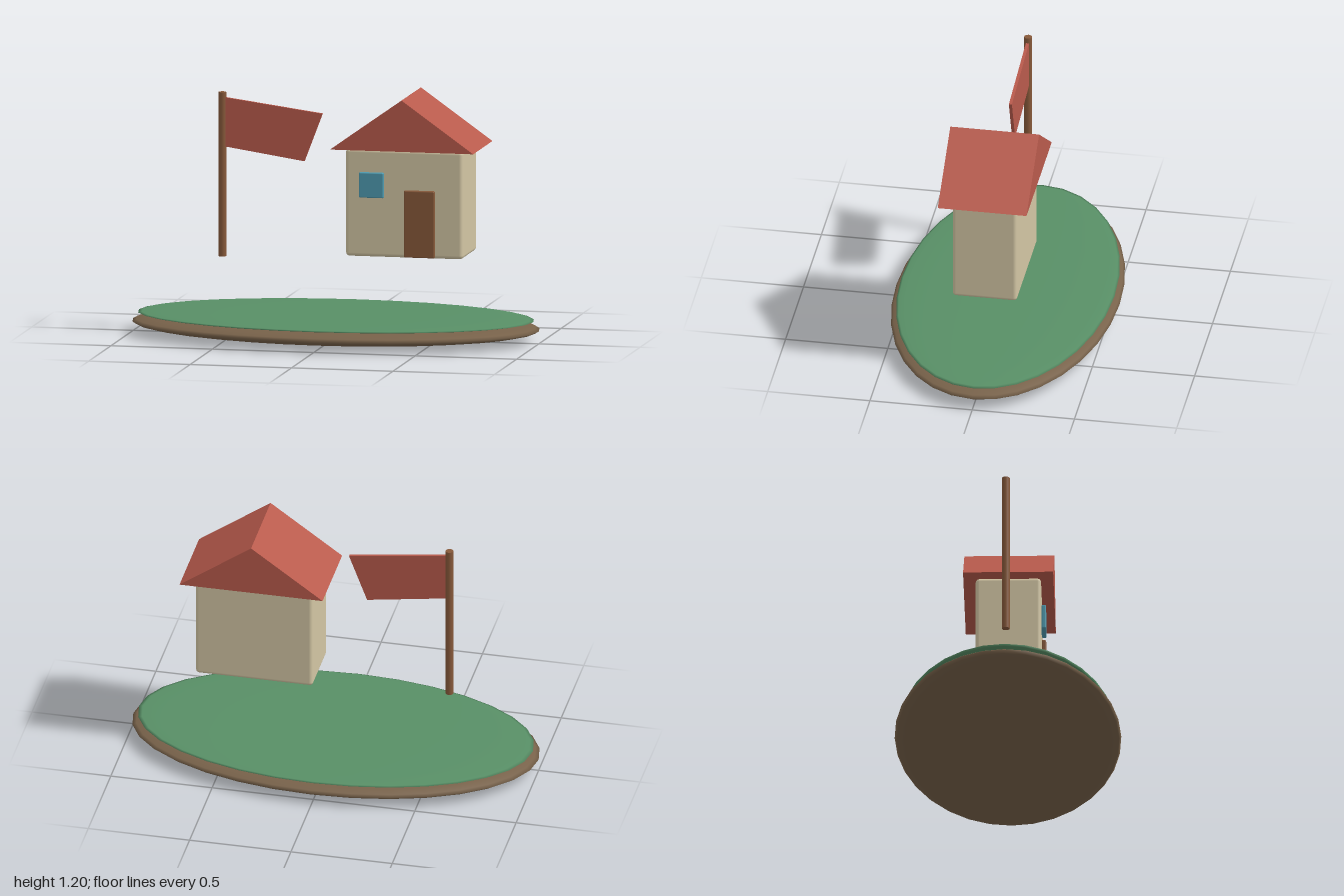
import * as THREE from 'three';
import { RoundedBoxGeometry } from 'three/addons/geometries/RoundedBoxGeometry.js';

const COLORS = {
  soil: 0x78624a, grass: 0x588f66, wall: 0xd2c5a3,
  roof: 0xb85a4c, wood: 0x87593a, glass: 0x4f9bb0,
};

export function createModel() {
  const model = new THREE.Group();
  model.name = 'floatingHouseIsland';

  const materials = {};
  for (const [key, color] of Object.entries(COLORS)) {
    materials[key] = new THREE.MeshStandardMaterial({ color });
  }

  function add(name, geometry, material, x, y, z) {
    const mesh = new THREE.Mesh(geometry, materials[material]);
    mesh.name = name;
    mesh.position.set(x, y, z);
    model.add(mesh);
    return mesh;
  }

  // Flattened ellipsoid
  function disc(name, material, rx, ry, rz, y) {
    const geometry = new THREE.SphereGeometry(1, 32, 16).scale(rx, ry, rz);
    add(name, geometry, material, 0, y, 0);
  }

  // Flat outline extruded symmetrically about z = 0
  function slab(name, material, points, depth) {
    const shape = new THREE.Shape(points.map(([x, y]) => new THREE.Vector2(x, y)));
    const geometry = new THREE.ExtrudeGeometry(shape, { depth, bevelEnabled: false });
    add(name, geometry, material, 0, 0, -depth / 2);
  }

  function roundedBox(name, material, [w, h, d], radius, [x, y, z]) {
    add(name, new RoundedBoxGeometry(w, h, d, 3, radius), material, x, y, z);
  }

  // Island
  disc('islandSoil', 'soil', 1, 0.06, 0.546, 0.06);
  disc('islandGrass', 'grass', 0.972, 0.018, 0.521, 0.104);

  // House
  roundedBox('houseWalls', 'wall', [0.578, 0.525, 0.315], 0.018, [0.37, 0.684, 0]);
  slab('roof', 'roof', [[0.018, 0.947], [0.724, 0.947], [0.371, 1.197]], 0.434);
  roundedBox('door', 'wood', [0.15, 0.326, 0.022], 0.006, [0.448, 0.589, 0.166]);
  roundedBox('window', 'glass', [0.121, 0.123, 0.022], 0.006, [0.212, 0.773, 0.169]);

  // Flag
  add('flagPole', new THREE.CylinderGeometry(0.019, 0.019, 0.8, 12), 'wood', -0.56, 0.777, 0);
  slab('flag', 'roof', [[-0.55, 0.913], [-0.155, 0.853], [-0.066, 1.087], [-0.55, 1.152]], 0.015);

  return model;
}
